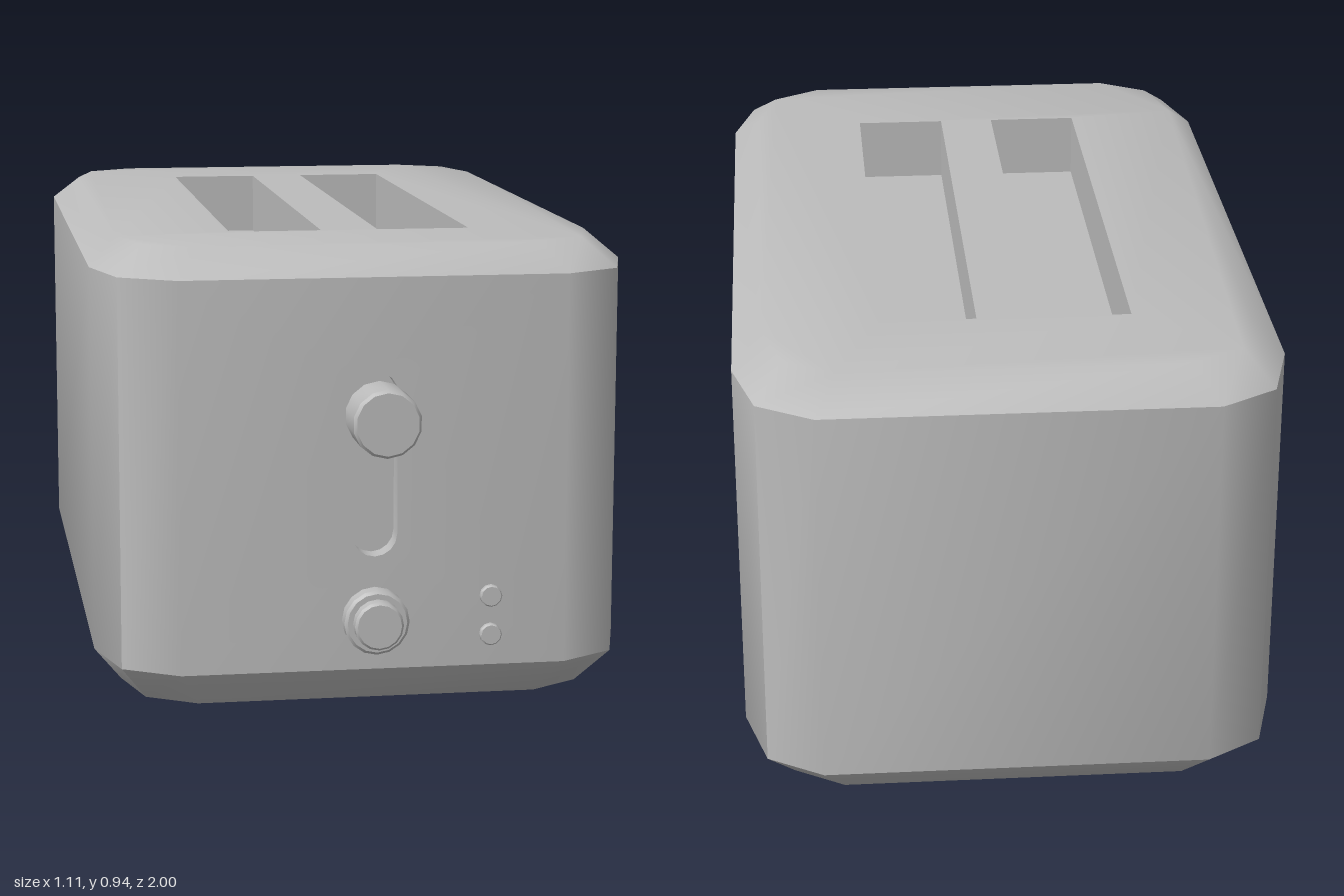
import * as THREE from 'three';
import { toCreasedNormals } from 'three/addons/utils/BufferGeometryUtils.js';

const V = (x, y) => new THREE.Vector2(x, y);
const HALF = 0.9225, MID = -0.0775, FRONT = 0.845;

// Footprint of the casing, counter-clockwise from above as (x, -z)
const quarter = [[0.395, HALF], [0.51, HALF - 0.07], [0.555, HALF - 0.235]];
const flip = (sx, sy, reverse) => {
  const pts = quarter.map(([x, y]) => V(x * sx, y * sy));
  return reverse ? pts.reverse() : pts;
};
const right = [...flip(1, -1), ...flip(1, 1, true)];
const left = [...flip(-1, 1), ...flip(-1, -1, true)];
// begins with the front edge, left to right
const footprint = [left[left.length - 1], ...right, ...left.slice(0, -1)];

const rect = (x0, y0, x1, y1) => [V(x0, y0), V(x1, y0), V(x1, y1), V(x0, y1)];

// Upright slot with round ends
function stadium(r, y0, y1, n = 8) {
  const pts = [];
  for (const [cy, start] of [[y1 - r, 0], [y0 + r, Math.PI]])
    for (let i = 0; i <= n; i++) {
      const a = start + Math.PI * i / n;
      pts.push(V(r * Math.cos(a), cy + r * Math.sin(a)));
    }
  return pts;
}

// Flat face with blind pockets; place(u, v, depth) gives the 3D point
function pocketFace(out, outline, holes, depth, place) {
  const fill = (contour, cuts, d) => {
    const all = [contour, ...cuts].flat();
    for (const f of THREE.ShapeUtils.triangulateShape(contour, cuts))
      for (const i of f) out.push(...place(all[i].x, all[i].y, d));
  };
  fill(outline, holes, 0);
  for (const hole of holes) {
    fill(hole, [], depth);
    hole.forEach((p, i) => {
      const q = hole[(i + 1) % hole.length];
      const a = place(p.x, p.y, 0), b = place(q.x, q.y, 0);
      const c = place(q.x, q.y, depth), d = place(p.x, p.y, depth);
      out.push(...a, ...b, ...c, ...a, ...c, ...d);
    });
  }
}

function casingGeometry() {
  const out = [];
  const inset = footprint.map(p => V(p.x * 0.892, p.y * 0.902));
  const rings = [[0, inset], [0.085, footprint], [0.89, footprint], [0.945, inset]]
    .map(([y, pts]) => pts.map(p => [p.x, y, MID - p.y]));

  // Walls and chamfers; the front wall is left out for the lever slot
  for (let k = 0; k < 3; k++)
    for (let i = 0; i < footprint.length; i++) {
      if (k === 1 && i === 0) continue;
      const j = (i + 1) % footprint.length;
      const a = rings[k][i], b = rings[k][j], c = rings[k + 1][j], d = rings[k + 1][i];
      out.push(...a, ...b, ...c, ...a, ...c, ...d);
    }

  // Front wall with lever slot
  pocketFace(out, rect(-0.395, 0.085, 0.395, 0.89), [stadium(0.046, 0.32, 0.7)], 0.045,
    (u, v, d) => [u, v, FRONT - d]);
  // Top with two bread slots
  const slots = [-0.255, 0.06].map(x => rect(x, -0.505 + MID, x + 0.195, 0.67 + MID));
  pocketFace(out, inset, slots, 0.138, (u, v, d) => [u, 0.945 - d, MID - v]);
  // Underside
  const under = inset.map(p => V(p.x, -p.y)).reverse();
  pocketFace(out, under, [], 0, (u, v) => [u, 0, MID + v]);

  const geo = new THREE.BufferGeometry();
  geo.setAttribute('position', new THREE.Float32BufferAttribute(out, 3));
  return toCreasedNormals(geo, 0.79);
}

// Round part turned about z, profile given as [radius, z]
function turned(profile, sides) {
  const geo = new THREE.LatheGeometry(profile.map(([r, z]) => V(r, z)), sides);
  geo.rotateX(Math.PI / 2);
  return toCreasedNormals(geo, 0.6);
}

export function createModel() {
  const model = new THREE.Group();
  model.name = 'toaster';
  const grey = new THREE.MeshStandardMaterial({ color: 0xbcbcbc });
  grey.name = 'grey';

  const add = (name, geo, x = 0, y = 0) => {
    const mesh = new THREE.Mesh(geo, grey);
    mesh.name = name;
    mesh.position.set(x, y, 0);
    model.add(mesh);
  };

  add('casing', casingGeometry());

  // Lever stem and knob
  add('leverStem', turned([[0, 0.8], [0.033, 0.8], [0.033, 0.89], [0, 0.89]], 14), 0, 0.62);
  add('leverKnob', turned([[0, 0.885], [0.063, 0.885], [0.069, 0.892], [0.069, 0.992],
    [0.063, 1], [0, 1]], 14), 0, 0.62);

  // Browning dial
  add('dialFlange', turned([[0, 0.84], [0.067, 0.84], [0.067, 0.876], [0.061, 0.882],
    [0, 0.882]], 16), 0, 0.19);
  add('dialCap', turned([[0, 0.88], [0.05, 0.88], [0.05, 0.906], [0.045, 0.912], [0, 0.912]], 16), 0, 0.19);

  // Two small buttons
  for (const y of [0.15, 0.231])
    add('button', turned([[0, 0.84], [0.023, 0.84], [0.023, 0.853], [0.02, 0.857], [0, 0.857]], 12), 0.24, y);

  return model;
}
